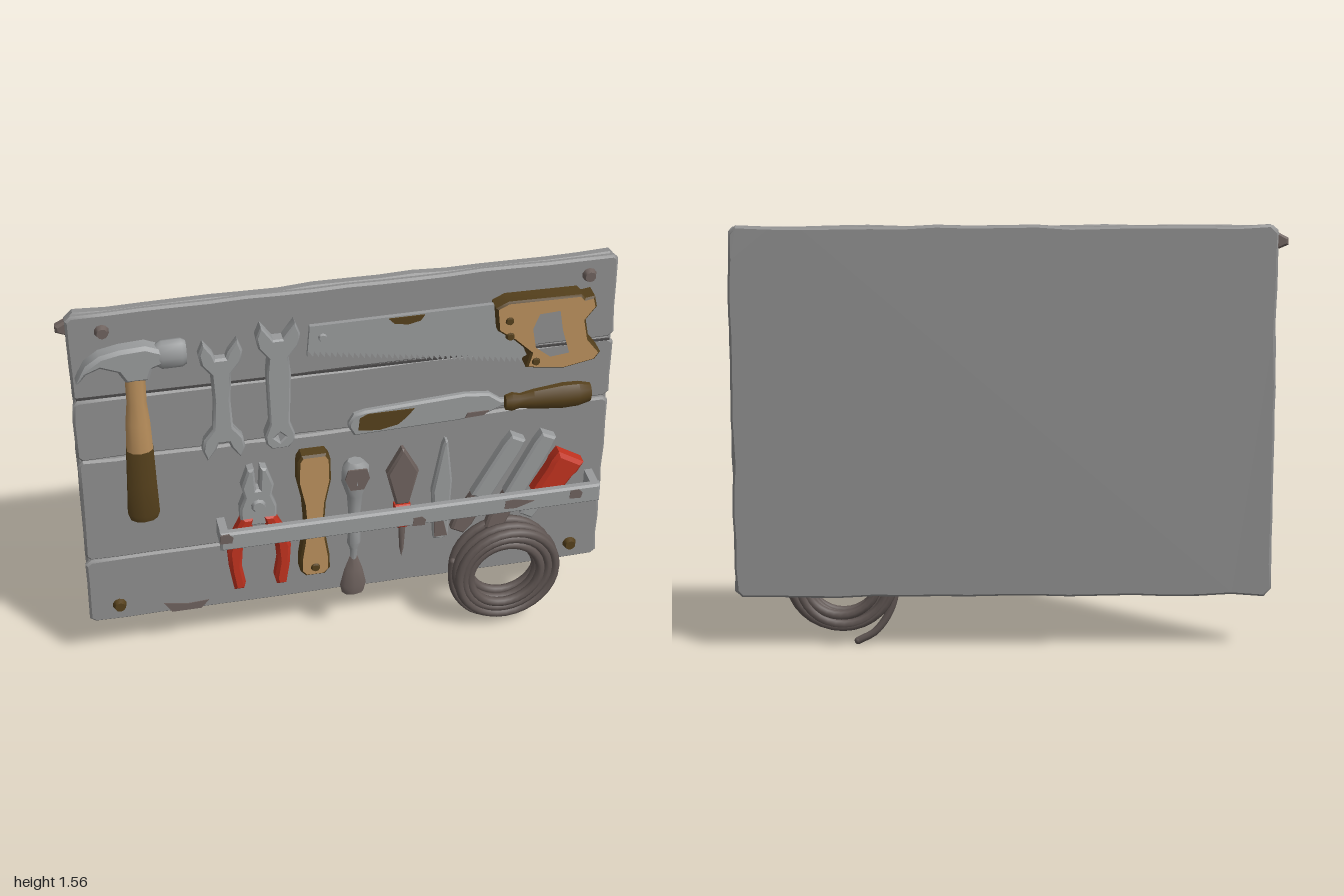
import * as THREE from 'three';
import { toCreasedNormals } from 'three/addons/utils/BufferGeometryUtils.js';

const mat = (name, color) => Object.assign(new THREE.MeshStandardMaterial({ color }), { name });

export function createModel() {
  const root = new THREE.Group();
  root.name = 'toolBoard';
  const board = mat('weatheredGrey', 0x8e8e8e), steel = mat('steel', 0x989a9b);
  const wood = mat('paleWood', 0xb98f5c), brown = mat('darkBrown', 0x55401c);
  const red = mat('red', 0xc0321f), cable = mat('cable', 0x5f5552);
  const rust = mat('rust', 0x6e625e), seam = mat('seamShadow', 0x4a4848);

  let seed = 7;
  const jitter = (a) => {
    seed = (seed * 16807) % 2147483647;
    return (seed / 2147483647 - 0.5) * 2 * a;
  };
  const add = (name, geo, m, parent = root) => {
    const mesh = new THREE.Mesh(geo, m);
    mesh.name = name;
    parent.add(mesh);
    return mesh;
  };
  const V = (pts) => pts.map(([x, y]) => new THREE.Vector2(x, y));
  const mirror = (half) => [...half, ...half.map(([x, y]) => [-x, y]).reverse()];
  const group = (name, x, y, rot = 0) => {
    const g = new THREE.Group();
    g.name = name;
    g.position.set(x, y, 0);
    g.rotation.z = rot;
    root.add(g);
    return g;
  };
  // Bevelled outline between two depths
  const slab = (name, pts, z0, z1, m, { bevel = 0.008, hole, parent = root, crease = 0.6 } = {}) => {
    const shape = new THREE.Shape(V(pts));
    if (hole) shape.holes.push(new THREE.Path(V(hole)));
    const geo = new THREE.ExtrudeGeometry(shape, {
      depth: z1 - z0 - 2 * bevel, bevelEnabled: bevel > 0, bevelSize: bevel,
      bevelThickness: bevel, bevelOffset: -bevel, bevelSegments: 1,
    });
    geo.translate(0, 0, z0 + bevel);
    return add(name, toCreasedNormals(geo, crease), m, parent);
  };
  const patch = (name, pts, z, m, parent) => slab(name, pts, z - 0.003, z + 0.003, m, { bevel: 0, parent });
  // Turned part along y, flattened in depth
  const turned = (name, pts, m, parent, flat = 1, sides = 10) => {
    const geo = new THREE.LatheGeometry(V(pts), sides);
    geo.scale(1, 1, flat);
    return add(name, toCreasedNormals(geo, 0.8), m, parent);
  };
  const tube = (name, pts, r, m, parent = root, n = 16) => {
    const path = new THREE.CatmullRomCurve3(pts.map((p) => new THREE.Vector3(...p)));
    add(name, new THREE.TubeGeometry(path, n, r, 8), m, parent);
    [pts[0], pts[pts.length - 1]].forEach((p) =>
      add(name + 'End', new THREE.SphereGeometry(r, 8, 6), m, parent).position.set(...p));
  };
  const disc = (name, x, y, z, r, h, m, parent = root) => {
    const geo = new THREE.CylinderGeometry(r * 0.7, r, h, 10);
    geo.rotateX(Math.PI / 2);
    add(name, toCreasedNormals(geo, 0.6), m, parent).position.set(x, y, z);
  };

  // Rough-edged rectangle
  const rough = (x0, x1, y0, y1, a, c) => {
    const pts = [], n = 16, k = Math.max(2, Math.round((y1 - y0) / 0.1));
    for (let i = 0; i <= n; i++) pts.push([x0 + c + ((x1 - x0 - 2 * c) * i) / n, y0 + jitter(a)]);
    for (let i = 0; i <= k; i++) pts.push([x1 + jitter(a), y0 + c + ((y1 - y0 - 2 * c) * i) / k]);
    for (let i = n; i >= 0; i--) pts.push([x0 + c + ((x1 - x0 - 2 * c) * i) / n, y1 + jitter(a)]);
    for (let i = k; i >= 0; i--) pts.push([x0 + jitter(a), y0 + c + ((y1 - y0 - 2 * c) * i) / k]);
    return pts;
  };

  // Backing and four planks
  slab('backing', rough(-0.962, 0.99, 0.202, 1.553, 0.005, 0.025), -0.09, -0.05, board);
  const edges = [0.2, 0.495, 0.945, 1.205, 1.555];
  for (let i = 0; i < 4; i++) {
    slab('plank', rough(-0.965, 0.993, edges[i] + 0.002, edges[i + 1] - 0.002, 0.003, 0.018),
      -0.06, -0.033, board);
  }
  patch('seamLine', [[-0.95, 1.212], [0.98, 1.196], [0.98, 1.204], [-0.95, 1.222]], -0.0335, seam);
  patch('lowerStain', [[-0.69, 0.25], [-0.66, 0.205], [-0.55, 0.205], [-0.52, 0.24], [-0.6, 0.235]], -0.033, rust);
  slab('splinter', [[-1, 1.485], [-0.94, 1.46], [-0.94, 1.54], [-1, 1.51]], -0.085, -0.05, rust);
  [[-0.845, 1.485, rust], [0.885, 1.485, rust], [-0.855, 0.275, brown], [0.885, 0.275, brown]]
    .forEach(([x, y, m]) => disc('nail', x, y, -0.025, 0.028, 0.025, m));

  // Hammer
  const hammer = group('hammer', -0.745, 0);
  turned('hammerShaft', [[0.049, 1], [0.044, 1.12], [0.036, 1.2], [0.037, 1.32]], wood, hammer, 0.75);
  turned('hammerGrip', [[0, 0.69], [0.05, 0.692], [0.06, 0.72], [0.055, 0.85], [0.05, 1.01], [0, 1.015]], brown, hammer, 0.6);
  slab('hammerHead', [[-0.205, 1.315], [-0.17, 1.385], [-0.12, 1.42], [-0.05, 1.435], [0.04, 1.44], [0.075, 1.425],
    [0.1, 1.415], [0.1, 1.36], [0.06, 1.345], [0.045, 1.3], [-0.035, 1.3], [-0.06, 1.345], [-0.12, 1.37], [-0.17, 1.35]],
    -0.033, 0.033, steel, { parent: hammer, bevel: 0.012 });
  const face = turned('hammerFace', [[0, -0.055], [0.042, -0.055], [0.055, -0.035], [0.055, 0.035], [0.045, 0.05], [0, 0.05]],
    steel, hammer, 0.7, 12);
  face.rotation.z = -Math.PI / 2;
  face.position.set(0.13, 1.385, 0);

  // Spanners
  const jaw = [[0.027, 0.36], [0.06, 0.405], [0.078, 0.36], [0.07, 0.315], [0.036, 0.27]];
  const jawEnd = (s, top) => jaw.map(([x, y]) => [x, s * (y + top)]);
  const half = [[0.018, 0.18], ...jawEnd(1, -0.155), [0.03, 0], ...jawEnd(-1, -0.155).reverse(), [0.018, -0.18]];
  const spanner = group('doubleSpanner', -0.445, 1.157);
  slab('doubleSpannerBody', mirror(half), -0.035, 0.005, steel, { parent: spanner });
  const combo = group('ringSpanner', -0.243, 1.05, 0.0);
  slab('ringSpannerBody', mirror([[0.017, 0.345], ...jaw, [0.043, 0.2], [0.036, -0.01], [0.054, -0.06],
    [0.05, -0.095], [0.03, -0.118]]), -0.035, 0.015, steel,
    { parent: combo, hole: [[0.02, -0.07], [0, -0.05], [-0.02, -0.07], [0, -0.09]], bevel: 0.006 });

  // Saw with toothed blade
  const teeth = [], n = 38;
  for (let i = 0; i <= n; i++) {
    const x = -0.14 + (0.78 * i) / n, y = 1.305 - (0.135 * i) / n;
    teeth.push([x, y], [x + 0.004, y + 0.022]);
  }
  slab('sawBlade', [...teeth, [0.66, 1.2], [0.56, 1.43], [-0.13, 1.428]], -0.012, 0.004, steel, { bevel: 0 });
  patch('sawRust', [[0.15, 1.424], [0.17, 1.402], [0.22, 1.392], [0.265, 1.402], [0.28, 1.424]], 0.005, brown);
  disc('sawRivet', -0.085, 1.378, 0.006, 0.018, 0.012, steel);
  slab('sawHandle', [[0.53, 1.43], [0.575, 1.452], [0.84, 1.448], [0.855, 1.43], [0.89, 1.435], [0.9, 1.39], [0.862, 1.34],
    [0.877, 1.26], [0.925, 1.195], [0.905, 1.165], [0.79, 1.143], [0.65, 1.165], [0.665, 1.225], [0.6, 1.29], [0.54, 1.335]],
    -0.035, 0.037, [wood, brown], { bevel: 0.007, hole: [[0.685, 1.395], [0.77, 1.4], [0.785, 1.31], [0.815, 1.205],
      [0.735, 1.195], [0.675, 1.245], [0.66, 1.33]] });
  [[0.58, 1.375], [0.585, 1.31], [0.685, 1.19]].forEach(([x, y]) => disc('handleRivet', x, y, 0.038, 0.018, 0.014, brown));

  // Broad knife
  slab('knifeBlade', [[0.01, 0.97], [0.01, 0.99], [0.03, 1.025], [0.07, 1.035], [0.44, 1.055], [0.53, 1.045], [0.575, 1.01],
    [0.61, 1.008], [0.61, 0.985], [0.575, 0.98], [0.525, 0.958], [0.42, 0.943], [0.03, 0.933]], -0.03, 0, steel);
  patch('knifeRust', [[0.045, 0.96], [0.05, 1.01], [0.08, 1.025], [0.25, 1.025], [0.22, 0.99], [0.19, 0.965], [0.12, 0.95]], 0.001, brown);
  patch('knifeTipRust', [[0.44, 0.955], [0.45, 0.975], [0.53, 0.975], [0.51, 0.958]], 0.001, rust);
  const knifeGrip = turned('knifeGrip', [[0, -0.17], [0.038, -0.165], [0.05, -0.12], [0.052, -0.06], [0.04, 0.05],
    [0.03, 0.1], [0.038, 0.13], [0.03, 0.155], [0, 0.16]], brown, root, 0.7);
  knifeGrip.rotation.z = Math.PI / 2;
  knifeGrip.position.set(0.745, 0.998, -0.003);

  // Pliers
  const pliers = group('pliers', -0.33, 0);
  slab('pliersHead', mirror([[0.006, 0.76], [0.012, 0.855], [0.035, 0.85], [0.06, 0.775], [0.05, 0.73], [0.068, 0.68],
    [0.065, 0.59], [0.02, 0.6]]), -0.032, 0.018, steel, { parent: pliers });
  disc('pliersPivot', 0, 0.69, 0.022, 0.03, 0.014, steel, pliers);
  for (const s of [-1, 1]) {
    slab('pliersGrip', [[0.015, 0.64], [0.06, 0.64], [0.098, 0.56], [0.118, 0.49], [0.112, 0.4], [0.098, 0.31], [0.062, 0.31],
      [0.055, 0.34], [0.068, 0.42], [0.062, 0.5], [0.03, 0.57]].map(([x, y]) => [s * x, y]), -0.032, 0.025, red,
      { parent: pliers, bevel: 0.012 });
  }

  // Wooden-handled tool
  const mallet = group('woodenHandle', -0.123, 0);
  slab('woodenHandleBody', mirror([[0.045, 0.89], [0.06, 0.865], [0.062, 0.77], [0.042, 0.67], [0.036, 0.58], [0.043, 0.5],
    [0.055, 0.42], [0.056, 0.36], [0.035, 0.335]]), -0.033, 0.028, [wood, brown], { parent: mallet });
  disc('handleStud', 0, 0.375, 0.03, 0.02, 0.012, brown, mallet);

  // Small trowel hanging behind the rail
  const trowel = group('smallTrowel', 0.022, 0, -0.015);
  turned('trowelGrip', [[0, 0.525], [0.022, 0.53], [0.024, 0.6], [0.03, 0.67], [0.052, 0.74], [0.05, 0.8], [0.03, 0.825], [0, 0.825]],
    steel, trowel, 0.8, 8);
  turned('trowelNeck', [[0.012, 0.36], [0.015, 0.42], [0.026, 0.45], [0.022, 0.53], [0, 0.54]], steel, trowel, 0.8, 8);
  turned('trowelTip', [[0, 0.2], [0.042, 0.212], [0.05, 0.25], [0.035, 0.32], [0.015, 0.38], [0, 0.385]], rust, trowel, 0.55, 8);
  patch('trowelGripTop', mirror([[0.035, 0.81], [0.046, 0.77], [0.025, 0.72]]), 0.038, rust, trowel);

  // Pointed scraper
  const scraper = group('pointedScraper', 0.212, 0);
  slab('scraperBlade', mirror([[0.004, 0.85], [0.06, 0.745], [0.025, 0.6]]), -0.03, 0.01, rust, { parent: scraper });
  slab('scraperCollar', mirror([[0.03, 0.6], [0.03, 0.51], [0.018, 0.495]]), -0.025, 0.018, red, { parent: scraper });
  turned('scraperSpike', [[0, 0.35], [0.008, 0.39], [0.014, 0.5]], rust, scraper);

  // File
  slab('file', [[0.37, 0.865], [0.38, 0.86], [0.4, 0.68], [0.39, 0.42], [0.37, 0.41], [0.335, 0.415], [0.325, 0.64], [0.36, 0.84]],
    -0.03, 0.008, steel);
  patch('fileRust', [[0.335, 0.43], [0.335, 0.53], [0.365, 0.52], [0.385, 0.43]], 0.009, rust);

  // Slanted chisels and red-capped tool
  [[0.535, 0.64, 0.46, -0.5], [0.66, 0.63, 0.46, -0.46]].forEach(([x, y, len, rot]) => {
    const g = group('slantedChisel', x, y, rot);
    slab('chiselShank', mirror([[0.03, len / 2], [0.036, 0.18], [0.036, -0.06]]), -0.03, 0.02, steel, { parent: g });
    slab('chiselTip', mirror([[0.032, -0.05], [0.038, -0.18], [0.028, -len / 2]]), -0.028, 0.012, rust, { parent: g });
  });
  const capped = group('redCappedTool', 0.795, 0.64, -0.55);
  slab('redCap', mirror([[0.058, 0.105], [0.06, 0.06], [0.054, 0.03], [0.05, -0.09]]), -0.033, 0.035, red, { parent: capped, bevel: 0.014 });
  slab('cappedShank', mirror([[0.035, -0.08], [0.028, -0.2]]), -0.03, 0.015, steel, { parent: capped });

  // Retaining rail with returns to the board
  const box = (name, w, h, d, x, y, z) => add(name, new THREE.BoxGeometry(w, h, d), steel).position.set(x, y, z);
  slab('rail', [[-0.482, 0.545], [-0.482, 0.623], [0.955, 0.623], [0.955, 0.545]], 0.04, 0.075, steel);
  box('railEnd', 0.03, 0.07, 0.1, -0.465, 0.584, 0.005);
  box('railEnd', 0.03, 0.07, 0.1, 0.938, 0.584, 0.005);
  [[0.26, 0.565], [0.86, 0.595], [0.61, 0.587], [-0.46, 0.6]].forEach(([x, y], i) =>
    patch('railRust', [[x - 0.025, y - 0.018], [x + 0.02, y - 0.02], [x + (i === 2 ? 0.09 : 0.025), y + 0.004], [x + 0.01, y + 0.02],
      [x - 0.022, y + 0.018]], 0.074, rust));

  // Cable coil, layered rings with a loose tail
  const coil = group('cableCoil', 0.605, 0.25);
  for (let layer = 0; layer < 3; layer++) {
    for (let k = 0; k < 3; k++) {
      const ring = add('cableLoop', new THREE.TorusGeometry(0.14 + k * 0.024 + jitter(0.004), 0.018, 8, 32), cable, coil);
      ring.position.set(jitter(0.008), jitter(0.008), -0.008 + layer * 0.037);
      ring.rotation.set(jitter(0.04), jitter(0.04), 0);
    }
  }
  tube('cableTail', [[0.41, 0.3, 0.015], [0.408, 0.22, 0.012], [0.43, 0.13, 0.008], [0.485, 0.05, 0.005], [0.55, 0.014, 0.005]], 0.014, cable);
  return root;
}
